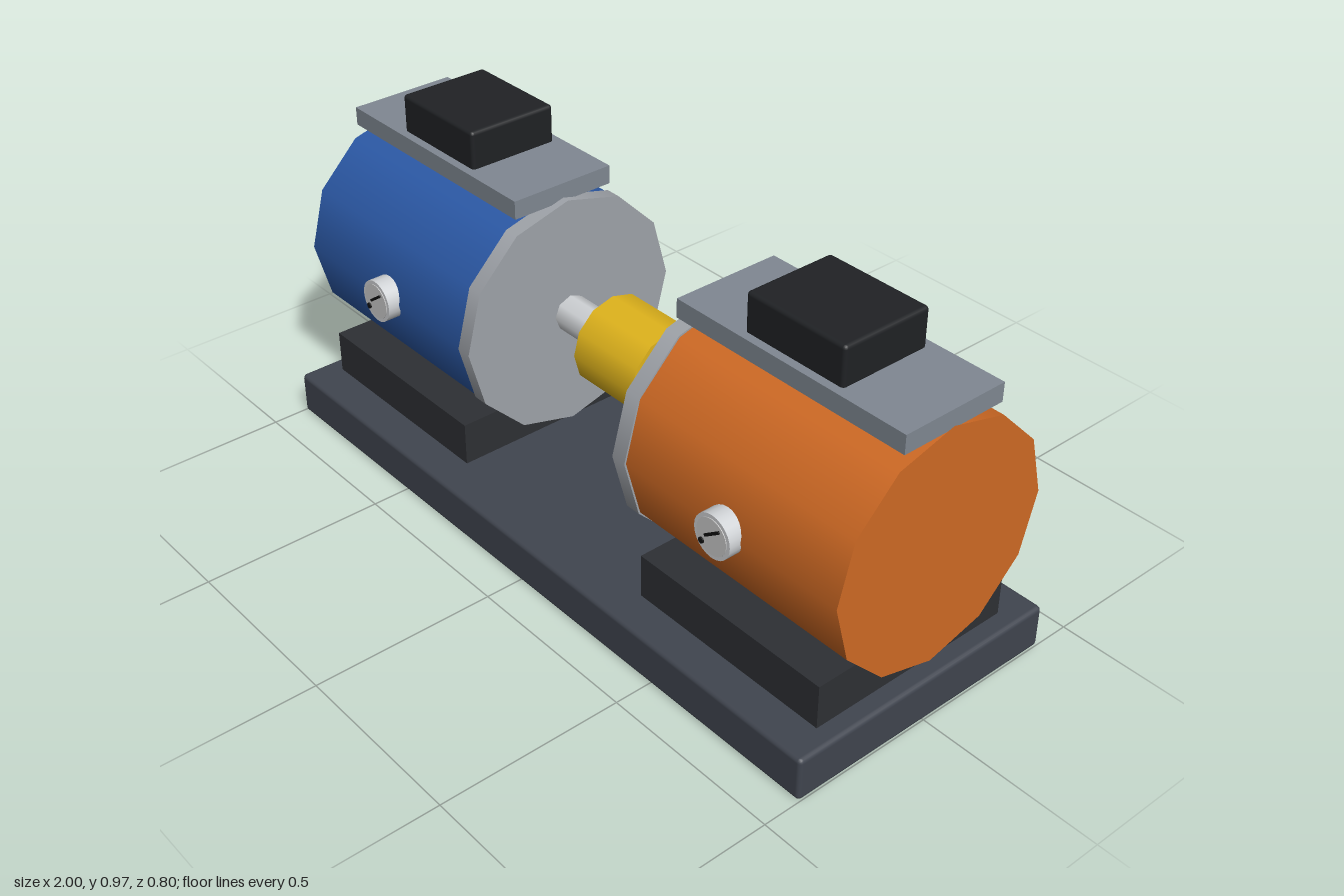
import * as THREE from 'three';
import { RoundedBoxGeometry } from 'three/addons/geometries/RoundedBoxGeometry.js';

const AXIS_Y = 0.5;
const paint = (color) => new THREE.MeshStandardMaterial({ color });
const mats = {
  base: paint(0x40454f), foot: paint(0x2e3034), plate: paint(0x808892), box: paint(0x202225),
  flange: paint(0xa0a4aa), steel: paint(0xd0d3d6), blue: paint(0x2c5aa8), orange: paint(0xd06a24),
  yellow: paint(0xe0b41c), dial: paint(0xe4e4e4), dark: paint(0x111111),
};

function add(parent, name, geometry, material, x, y, z) {
  const mesh = new THREE.Mesh(geometry, material);
  mesh.name = name;
  mesh.position.set(x, y, z);
  parent.add(mesh);
  return mesh;
}

// Cylinder lying along x, with a corner at the top
function drum(parent, name, radius, x0, x1, sides, material) {
  const geometry = new THREE.CylinderGeometry(radius, radius, x1 - x0, sides).rotateZ(Math.PI / 2);
  return add(parent, name, geometry, material, (x0 + x1) / 2, AXIS_Y, 0);
}

// Cylinder facing +z
const disc = (radius, depth, sides) =>
  new THREE.CylinderGeometry(radius, radius, depth, sides).rotateX(Math.PI / 2);

function gauge() {
  const g = new THREE.Group();
  g.name = 'gauge';
  add(g, 'gaugeBody', disc(0.058, 0.05, 24), mats.steel, 0, 0, 0.326);
  add(g, 'gaugeDial', disc(0.048, 0.004, 24), mats.dial, 0, 0, 0.351);
  const needle = add(g, 'gaugeNeedle', new THREE.BoxGeometry(0.056, 0.007, 0.004), mats.dark, 0.004, 0.012, 0.355);
  needle.rotation.z = 0.62;
  add(g, 'gaugeMark', disc(0.008, 0.004, 10), mats.dark, -0.03, -0.025, 0.355);
  return g;
}

// One machine: s is the side of the base it stands on
function machine(name, s, material) {
  const g = new THREE.Group();
  g.name = name;
  const span = (a, b) => [Math.min(s * a, s * b), Math.max(s * a, s * b)];
  drum(g, 'casing', 0.32, ...span(0.32, 1), 12, material);
  drum(g, 'flange', 0.325, ...span(0.28, 0.323), 12, mats.flange);
  add(g, 'foot', new THREE.BoxGeometry(0.595, 0.12, 0.6), mats.foot, s * 0.65, 0.18, 0);
  add(g, 'topPlate', new THREE.BoxGeometry(0.7, 0.05, 0.3), mats.plate, s * 0.65, 0.84, 0);
  add(g, 'terminalBox', new RoundedBoxGeometry(0.3, 0.11, 0.256, 2, 0.01), mats.box, s * 0.65, 0.913, 0);
  const dial = gauge();
  dial.position.set(s * 0.65, AXIS_Y, 0);
  g.add(dial);
  return g;
}

export function createModel() {
  const model = new THREE.Group();
  model.name = 'motorAndPumpSet';

  // Base slab with softened edges
  add(model, 'base', new RoundedBoxGeometry(2, 0.12, 0.8, 2, 0.012), mats.base, 0, 0.06, 0);

  // The two machines facing each other
  model.add(machine('blueMachine', -1, mats.blue), machine('orangeMachine', 1, mats.orange));

  // Drive shaft and coupling
  drum(model, 'shaft', 0.05, -0.29, 0.29, 8, mats.steel);
  drum(model, 'coupling', 0.125, -0.11, 0.11, 12, mats.yellow);

  return model;
}
